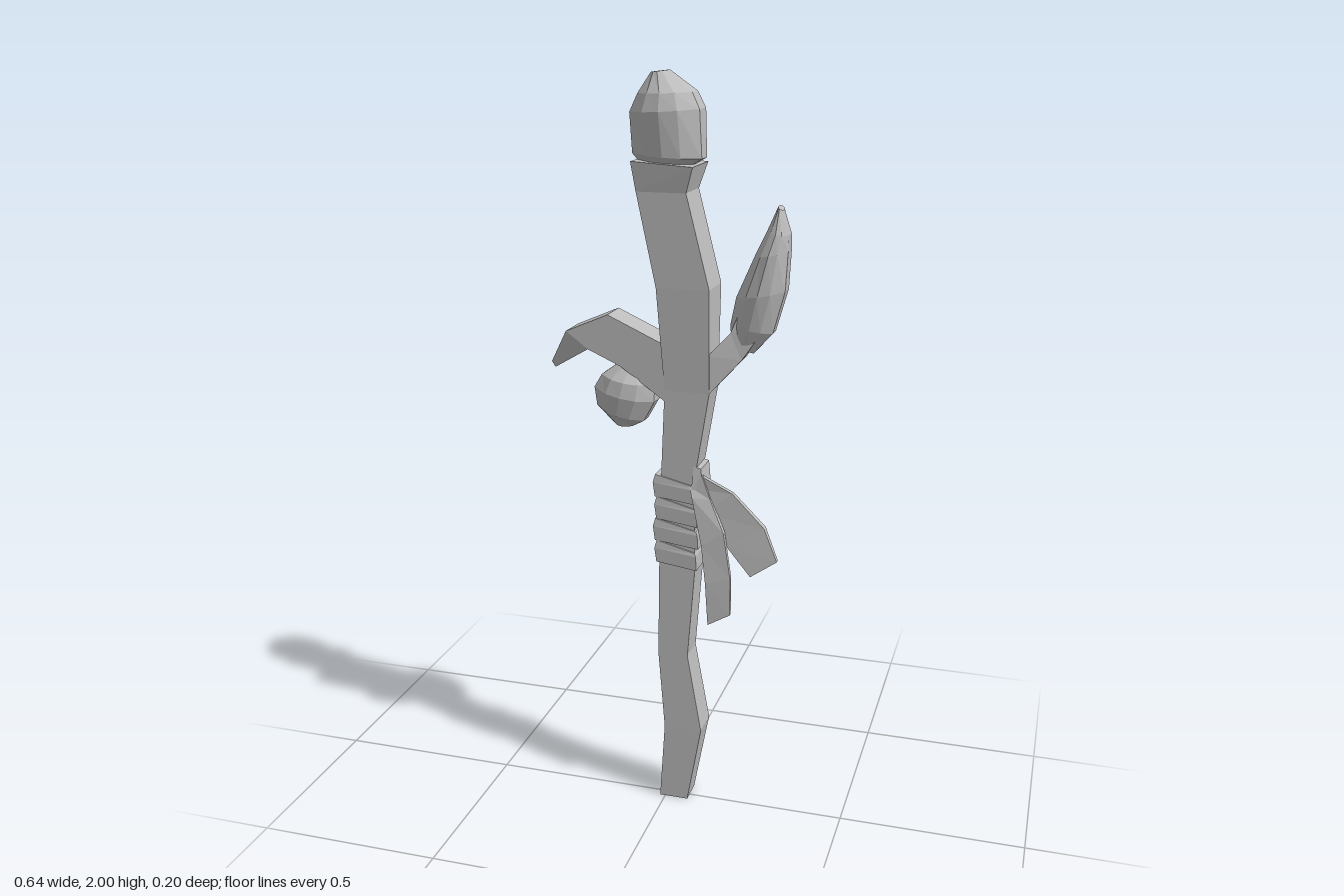
import * as THREE from 'three';

const grey = new THREE.MeshStandardMaterial({ color: 0xbcbcbc, flatShading: true });
grey.name = 'plain grey';

// Closed faceted solid through rings of equal point count, caps included
function loft(name, rings) {
  const tris = [], n = rings[0].length;
  for (let r = 0; r < rings.length - 1; r++) {
    for (let i = 0; i < n; i++) {
      const j = (i + 1) % n, p = rings[r], q = rings[r + 1];
      tris.push([p[i], p[j], q[j]], [p[i], q[j], q[i]]);
    }
  }
  const first = rings[0], last = rings[rings.length - 1];
  for (let i = 1; i < n - 1; i++) {
    tris.push([first[0], first[i + 1], first[i]], [last[0], last[i], last[i + 1]]);
  }
  // Signed volume tells whether the faces point outward
  let volume = 0;
  for (const [a, b, c] of tris) volume += a.dot(b.clone().cross(c));
  const points = tris.flatMap(([a, b, c]) => (volume < 0 ? [a, c, b] : [a, b, c]));
  const geometry = new THREE.BufferGeometry().setFromPoints(points);
  geometry.computeVertexNormals();
  const mesh = new THREE.Mesh(geometry, grey);
  mesh.name = name;
  return mesh;
}

// Four-sided section: edge points (ax, ay) and (bx, by), depth z0 to z1
const rect = ([ax, ay, bx, by, z0, z1]) => [
  new THREE.Vector3(ax, ay, z0), new THREE.Vector3(ax, ay, z1),
  new THREE.Vector3(bx, by, z1), new THREE.Vector3(bx, by, z0),
];

// Ten-sided faceted section between two edge points, half depth hz around zc
const facet = [[1, 0.36], [0.5, 0.87], [0, 1], [-0.5, 0.87], [-1, 0.36],
  [-1, -0.36], [-0.5, -0.87], [0, -1], [0.5, -0.87], [1, -0.36]];
const round = (zc) => ([ax, ay, bx, by, hz]) => facet.map(([u, w]) => new THREE.Vector3(
  (ax + bx) / 2 + u * (bx - ax) / 2, (ay + by) / 2 + u * (by - ay) / 2, zc + w * hz));

export function createModel() {
  const model = new THREE.Group();
  model.name = 'wooden staff';

  // Crooked square shaft, flaring into a socket
  model.add(loft('shaft', [
    [-0.015, 0, 0.065, 0, -0.05, 0.025],
    [0.0, 0.225, 0.105, 0.225, -0.06, 0.03],
    [-0.018, 0.45, 0.065, 0.45, -0.055, 0.03],
    [-0.015, 0.72, 0.085, 0.71, -0.055, 0.03],
    [-0.01, 0.95, 0.08, 0.95, -0.055, 0.03],
    [0.0, 1.2, 0.12, 1.2, -0.06, 0.03],
    [-0.02, 1.47, 0.12, 1.47, -0.08, 0.04],
    [-0.07, 1.71, 0.06, 1.71, -0.075, 0.045],
    [-0.08, 1.785, 0.08, 1.775, -0.09, 0.057],
  ].map(rect)));

  // Faceted stone in the socket
  model.add(loft('headStone', [
    [-0.07, 1.775, 0.065, 1.775, 0.055],
    [-0.09, 1.8, 0.09, 1.79, 0.068],
    [-0.095, 1.9, 0.085, 1.91, 0.084],
    [-0.075, 1.945, 0.065, 1.95, 0.073],
    [-0.045, 1.995, -0.002, 2.0, 0.03],
  ].map(round(-0.016))));

  // Bent twig on the right
  model.add(loft('bentTwig', [
    [0.03, 1.31, 0.03, 1.15, -0.065, 0.028],
    [0.0, 1.32, 0.0, 1.17, -0.065, 0.028],
    [-0.155, 1.39, -0.12, 1.255, -0.065, 0.028],
    [-0.27, 1.34, -0.21, 1.295, -0.065, 0.028],
    [-0.32, 1.25, -0.31, 1.235, -0.04, 0.005],
  ].map(rect)));

  // Fruit hanging under the twig
  model.add(loft('fruit', [
    [-0.15, 1.09, -0.1, 1.085, 0.03],
    [-0.195, 1.14, -0.065, 1.105, 0.058],
    [-0.2, 1.19, -0.035, 1.16, 0.071],
    [-0.18, 1.225, -0.035, 1.205, 0.066],
    [-0.125, 1.265, -0.06, 1.25, 0.03],
  ].map(round(-0.018))));

  // Short twig on the left, carrying a long bud
  model.add(loft('budTwig', [
    [0.07, 1.26, 0.09, 1.17, -0.065, 0.03],
    [0.115, 1.3, 0.12, 1.2, -0.065, 0.03],
    [0.17, 1.36, 0.2, 1.29, -0.05, 0.015],
    [0.19, 1.41, 0.24, 1.35, -0.045, 0.01],
  ].map(rect)));
  model.add(loft('bud', [
    [0.165, 1.335, 0.225, 1.305, 0.035],
    [0.165, 1.38, 0.275, 1.36, 0.05],
    [0.18, 1.45, 0.305, 1.47, 0.064],
    [0.225, 1.555, 0.31, 1.57, 0.06],
    [0.255, 1.62, 0.31, 1.61, 0.048],
    [0.28, 1.68, 0.292, 1.67, 0.026],
  ].map(round(-0.024))));

  // Stacked, slightly slanted turns of cloth
  const wrap = new THREE.Group();
  wrap.name = 'clothWrap';
  for (let i = 0; i < 4; i++) {
    const y = 0.722 + i * 0.062;
    const out = i % 2 ? 0.004 : 0;
    wrap.add(loft('wrapTurn', [
      [-0.022 - out, y, 0.09 + out, y - 0.015, -0.062 - out, 0.034],
      [-0.027 - out, y + 0.04, 0.088 + out, y + 0.025, -0.067 - out, 0.036],
      [-0.021 - out, y + 0.062, 0.084 + out, y + 0.035, -0.061 - out, 0.034],
    ].map(rect)));
  }
  wrap.add(loft('knot', [
    [0.075, 0.93, 0.105, 0.94, -0.05, 0.04],
    [0.08, 1.0, 0.1, 0.995, -0.05, 0.03],
  ].map(rect)));
  model.add(wrap);

  // Two loose cloth ends
  model.add(loft('lowerRibbon', [
    [0.07, 0.945, 0.105, 0.975, 0.02, 0.035],
    [0.08, 0.92, 0.13, 0.92, 0.033, 0.05],
    [0.115, 0.8, 0.175, 0.84, 0.065, 0.08],
    [0.13, 0.7, 0.198, 0.72, 0.08, 0.093],
    [0.14, 0.585, 0.2, 0.62, 0.088, 0.1],
  ].map(rect)));
  model.add(loft('upperRibbon', [
    [0.08, 0.94, 0.09, 0.98, 0.015, 0.03],
    [0.11, 0.88, 0.19, 0.94, 0.032, 0.047],
    [0.18, 0.8, 0.28, 0.86, 0.047, 0.066],
    [0.25, 0.73, 0.32, 0.78, 0.073, 0.087],
  ].map(rect)));

  return model;
}
